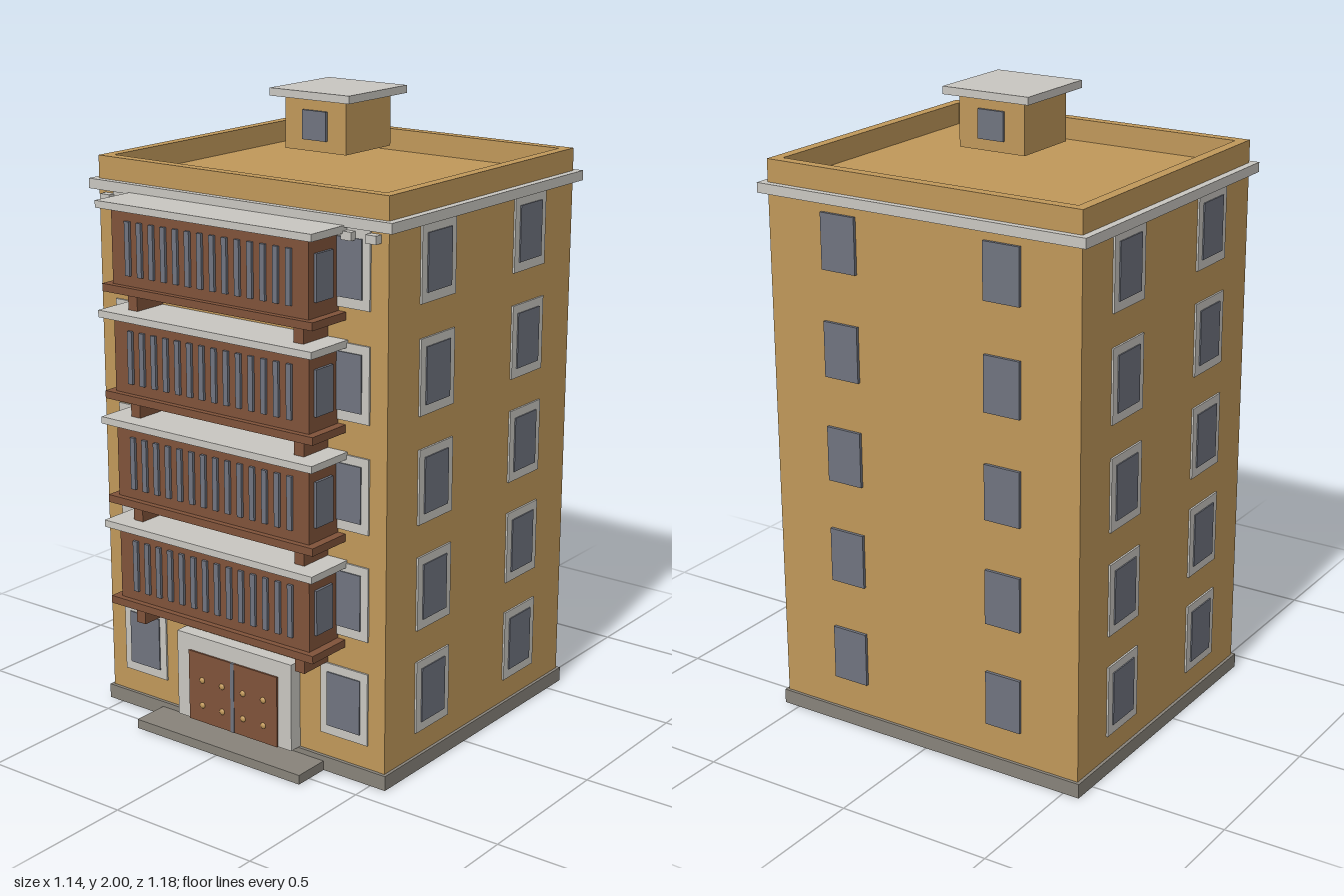
import * as THREE from 'three';

const mat = (name, color) => {
  const m = new THREE.MeshStandardMaterial({ color });
  m.name = name;
  return m;
};

export function createModel() {
  const ochre = mat('ochre wall', 0xc0985a);
  const stone = mat('pale stone', 0xc9c7c1);
  const brown = mat('brown wood', 0x80533a);
  const glass = mat('grey glass', 0x70747f);
  const plinth = mat('dark plinth', 0x88837a);

  const model = new THREE.Group();
  model.name = 'apartmentBlock';

  // Box given by its minimum and maximum on each axis
  const box = (name, material, x0, x1, y0, y1, z0, z1, parent = model) => {
    const mesh = new THREE.Mesh(new THREE.BoxGeometry(x1 - x0, y1 - y0, z1 - z0), material);
    mesh.position.set((x0 + x1) / 2, (y0 + y1) / 2, (z0 + z1) / 2);
    mesh.name = name;
    parent.add(mesh);
    return mesh;
  };
  const group = (name, y = 0) => {
    const g = new THREE.Group();
    g.name = name;
    g.position.y = y;
    model.add(g);
    return g;
  };

  const W = 0.545, FRONT = 0.417, BACK = -0.57;
  const FLOORS = 5, PITCH = 0.335;

  // Plinth, entrance step and main body
  box('plinth', plinth, -0.555, 0.555, 0, 0.047, -0.58, 0.428);
  box('entranceStep', plinth, -0.325, 0.325, 0, 0.03, 0.428, 0.55);
  box('walls', ochre, -W, W, 0.047, 1.73, BACK, FRONT);

  // Cornice band around the roof
  box('corniceFront', stone, -0.569, 0.569, 1.698, 1.729, FRONT, 0.438);
  box('corniceBack', stone, -0.569, 0.569, 1.698, 1.729, -0.592, BACK);
  for (const s of [-1, 1]) {
    box('corniceSide', stone, Math.min(s * W, s * 0.569), Math.max(s * W, s * 0.569), 1.698, 1.729, BACK, FRONT);
  }

  // Parapet
  const parapet = group('parapet');
  const T = 0.034;
  box('parapetFront', ochre, -W, W, 1.73, 1.8, FRONT - T, FRONT, parapet);
  box('parapetBack', ochre, -W, W, 1.73, 1.8, BACK, BACK + T, parapet);
  box('parapetLeft', ochre, W - T, W, 1.73, 1.8, BACK + T, FRONT - T, parapet);
  box('parapetRight', ochre, -W, T - W, 1.73, 1.8, BACK + T, FRONT - T, parapet);

  // Small corbels beneath the front cornice
  for (const s of [-1, 1]) {
    for (const x of [0.5, 0.415]) {
      box('corbel', stone, s * x - 0.019, s * x + 0.019, 1.663, 1.688, FRONT, 0.444);
    }
  }

  // Rooftop hut
  box('hutWalls', ochre, -0.115, 0.115, 1.815, 1.976, -0.19, 0.04);
  box('hutRoof', stone, -0.15, 0.15, 1.976, 2, -0.226, 0.073);
  box('hutFrontWindow', glass, -0.045, 0.045, 1.85, 1.94, 0.04, 0.049);
  box('hutBackWindow', glass, -0.045, 0.045, 1.85, 1.94, -0.199, -0.19);

  // Window facing +z, turned to its wall
  const addWindow = (x, y, z, turn, framed) => {
    const w = group('window', y);
    w.position.x = x;
    w.position.z = z;
    w.rotation.y = turn;
    if (framed) box('windowFrame', stone, -0.087, 0.087, -0.117, 0.115, 0, 0.006, w);
    box('windowPane', glass, -0.061, 0.061, -0.087, 0.088, 0, 0.01, w);
  };
  for (let i = 0; i < FLOORS; i++) {
    const y = 0.24 + i * PITCH;
    for (const s of [-1, 1]) {
      addWindow(s * 0.397, y, FRONT, 0, true);
      addWindow(s * 0.285, y, BACK, Math.PI, false);
      for (const z of [0.175, -0.318]) addWindow(s * W, y, z, s * Math.PI / 2, true);
    }
  }

  // Enclosed balconies on brackets
  for (let i = 0; i < FLOORS - 1; i++) {
    const b = group('balcony', i * PITCH);
    box('balconyFloor', brown, -0.397, 0.397, 0.42, 0.444, FRONT, 0.575, b);
    box('balconyBody', brown, -0.37, 0.37, 0.444, 0.676, FRONT, 0.556, b);
    box('balconyRoof', stone, -0.404, 0.404, 0.676, 0.698, FRONT, 0.589, b);
    for (let k = 0; k < 14; k++) {
      const x = (k - 6.5) * 0.0466;
      box('balconySlit', glass, x - 0.009, x + 0.009, 0.477, 0.642, 0.556, 0.565, b);
    }
    for (const s of [-1, 1]) {
      box('balconySideWindow', glass, s * 0.3745 - 0.0045, s * 0.3745 + 0.0045, 0.49, 0.63, 0.452, 0.532, b);
      box('balconyBracket', brown, s * 0.315 - 0.018, s * 0.315 + 0.018, 0.357, 0.414, FRONT, 0.532, b);
    }
  }

  // Entrance: surround, two door leaves, centre strip and studs
  const entrance = group('entrance');
  box('doorSurround', stone, -0.227, 0.227, 0.047, 0.332, FRONT, 0.462, entrance);
  const stud = new THREE.SphereGeometry(0.01, 12, 8);
  for (const s of [-1, 1]) {
    box('doorLeaf', brown, s * 0.0915 - 0.0845, s * 0.0915 + 0.0845, 0.047, 0.28, 0.462, 0.468, entrance);
    for (const x of [0.042, 0.122]) {
      for (const y of [0.105, 0.19]) {
        const m = new THREE.Mesh(stud, ochre);
        m.name = 'doorStud';
        m.position.set(s * x, y, 0.468);
        m.scale.z = 0.6;
        entrance.add(m);
      }
    }
  }
  box('doorCentreStrip', glass, -0.007, 0.007, 0.047, 0.28, 0.462, 0.47, entrance);

  return model;
}
